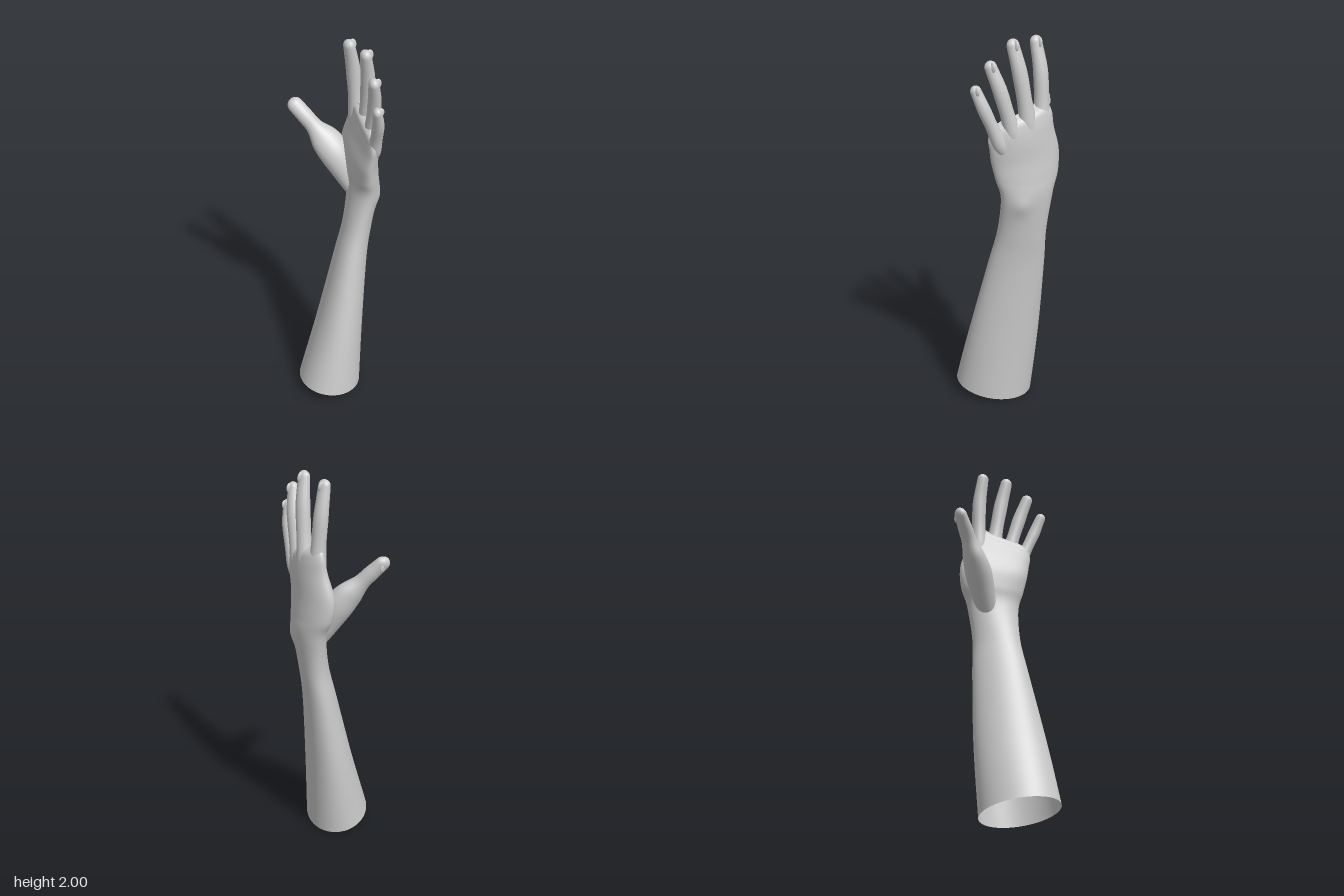
import * as THREE from 'three';

const V = (x, y, z) => new THREE.Vector3(x, y, z);
const { smoothstep } = THREE.MathUtils;
const skin = new THREE.MeshStandardMaterial({ color: 0xcccccc, side: THREE.DoubleSide });
const smoothCurve = points => new THREE.CatmullRomCurve3(points, false, 'catmullrom');

// Skin a list of equal closed rings
function loft(rings) {
  const n = rings[0].length, index = [];
  for (let i = 0; i < rings.length - 1; i++) {
    for (let j = 0; j < n; j++) {
      const k = (j + 1) % n;
      const a = i * n + j, b = i * n + k, c = a + n, d = b + n;
      index.push(a, c, b, b, c, d);
    }
  }
  const geo = new THREE.BufferGeometry().setFromPoints(rings.flat());
  geo.setIndex(index);
  geo.computeVertexNormals();
  return geo;
}

function named(geo, name) {
  const mesh = new THREE.Mesh(geo, skin);
  mesh.name = name;
  return mesh;
}

// Forearm and palm sections: centre x, y, z, then half depth, lean of x along z, half width
const ARM = [
  [-0.068, 0.037, 0.0625, 0.174, -0.034, 0.187],
  [0.003, 0.4, 0.05, 0.136, -0.05, 0.165],
  [0.08, 0.8, 0.0375, 0.098, -0.05, 0.1275],
  [0.122, 1.0, 0.0375, 0.083, -0.04, 0.113],
  [0.155, 1.2, 0.033, 0.077, -0.03, 0.132],
  [0.153, 1.3, 0.022, 0.077, -0.035, 0.164],
  [0.149, 1.4, 0.024, 0.072, -0.04, 0.178],
  [0.152, 1.5, 0.05, 0.06, -0.043, 0.165],
  [0.152, 1.57, 0.061, 0.05, -0.045, 0.162],
  [0.15, 1.615, 0.062, 0.038, -0.04, 0.14],
  [0.148, 1.64, 0.062, 0.002, -0.02, 0.08],
];

function forearmAndPalm(steps = 90, n = 56) {
  const centre = smoothCurve(ARM.map(r => V(r[0], r[1], r[2])));
  const size = smoothCurve(ARM.map(r => V(r[3], r[4], r[5])));
  const wristBone = V(0.2, 1.17, 0.11);
  const rings = [];
  for (let i = 0; i <= steps; i++) {
    const c = centre.getPoint(i / steps), s = size.getPoint(i / steps);
    const bow = 0.02 * smoothstep(c.y, 1.15, 1.4);           // hollow palm, arched back
    const cut = 1 - smoothstep(c.y, 0.035, 0.5);             // slanted, open lower end
    const knuckleSlope = 0.3 * smoothstep(c.y, 1.33, 1.57);  // knuckles drop to the little finger
    const ring = [];
    for (let j = 0; j < n; j++) {
      const t = j / n * Math.PI * 2, co = Math.cos(t), si = Math.sin(t);
      const dx = s.x * co + s.y * si - bow * si * si, dz = s.z * si;
      const dy = cut * (0.05 * dz - 0.19 * dx) - knuckleSlope * dz;
      const p = V(c.x + dx, c.y + dy, c.z + dz);
      // bony bump on the outer wrist
      const bump = 0.011 * Math.exp(-p.distanceToSquared(wristBone) / 0.0025);
      p.x += bump * 0.8;
      p.z += bump * 0.6;
      ring.push(p);
    }
    rings.push(ring);
  }
  return named(loft(rings), 'forearmAndPalm');
}

// Finger along four points with evenly spaced radii [back, side]; ends in a round tip and a nail
function finger(name, points, profile, scale, back) {
  const group = new THREE.Group();
  group.name = name;
  const path = smoothCurve(points);
  const radii = smoothCurve(profile.map(([a, b]) => V(a * scale, b * scale, 0)));
  const steps = 40, n = 24, caps = 8, rings = [];
  const frame = t => {
    const d = path.getTangent(t);
    const u = back.clone().addScaledVector(d, -back.dot(d)).normalize();
    return { d, u, v: u.clone().cross(d) };
  };
  const addRing = (c, f, ru, rv) => rings.push(Array.from({ length: n }, (_, j) => {
    const a = j / n * Math.PI * 2;
    return c.clone().addScaledVector(f.u, ru * Math.cos(a)).addScaledVector(f.v, rv * Math.sin(a));
  }));
  for (let i = 0; i <= steps; i++) {
    const r = radii.getPoint(i / steps);
    addRing(path.getPoint(i / steps), frame(i / steps), r.x, r.y);
  }
  const tip = path.getPoint(1), f = frame(1), r = radii.getPoint(1);
  for (let i = 1; i <= caps; i++) {
    const a = i / caps * Math.PI / 2, k = Math.max(Math.cos(a), 0.001);
    addRing(tip.clone().addScaledVector(f.d, r.y * Math.sin(a)), f, r.x * k, r.y * k);
  }
  group.add(named(loft(rings), name + 'Skin'));

  // Nail lying almost flush with the back of the tip
  const nail = named(new THREE.SphereGeometry(1, 20, 12), name + 'Nail');
  nail.quaternion.setFromRotationMatrix(new THREE.Matrix4().makeBasis(f.v, f.d, f.u));
  nail.rotateX(-0.2);
  nail.scale.set(r.y * 0.64, r.y * 0.85, 0.009);
  nail.position.copy(tip).addScaledVector(f.u, r.x * 0.75).addScaledVector(f.d, -0.002);
  group.add(nail);
  return group;
}

// Radii from the root inside the hand, over base and middle joint, to the tip
const FINGER_PROFILE = [
  [0.028, 0.03], [0.036, 0.038], [0.042, 0.046], [0.036, 0.037],
  [0.035, 0.038], [0.031, 0.035], [0.027, 0.032],
];
const THUMB_PROFILE = [
  [0.045, 0.045], [0.062, 0.066], [0.07, 0.08], [0.057, 0.074],
  [0.04, 0.044], [0.037, 0.041], [0.031, 0.04],
];

// Name, base, middle joint, tip, scale, turn of the nail towards +z
const FINGERS = [
  ['indexFinger', V(0.168, 1.56, -0.045), V(0.152, 1.8, -0.055), V(0.122, 1.958, -0.05), 1, -0.05],
  ['middleFinger', V(0.166, 1.57, 0.04), V(0.146, 1.82, 0.073), V(0.117, 1.968, 0.094), 1, 0.1],
  ['ringFinger', V(0.14, 1.54, 0.116), V(0.117, 1.75, 0.171), V(0.086, 1.88, 0.207), 0.95, 0.25],
  ['littleFinger', V(0.115, 1.5, 0.178), V(0.087, 1.67, 0.246), V(0.059, 1.772, 0.277), 0.84, 0.4],
];

export function createModel() {
  const model = new THREE.Group();
  model.name = 'forearmAndHand';
  model.add(forearmAndPalm());

  // Four fingers, each rooted on the line from its base to the wrist
  const wrist = V(0.145, 1.15, 0);
  for (const [name, base, joint, tip, scale, turn] of FINGERS) {
    const root = base.clone().lerp(wrist, 0.27);
    model.add(finger(name, [root, base, joint, tip], FINGER_PROFILE, scale, V(1, 0, turn)));
  }

  // Thumb with its thick ball, rooted in the wrist
  const thumbLine = [V(0.145, 1.14, 0), V(0.077, 1.345, -0.095), V(0.01, 1.48, -0.188), V(-0.048, 1.583, -0.268)];
  model.add(finger('thumb', thumbLine, THUMB_PROFILE, 1, V(0.25, -0.385, -0.7)));
  return model;
}
